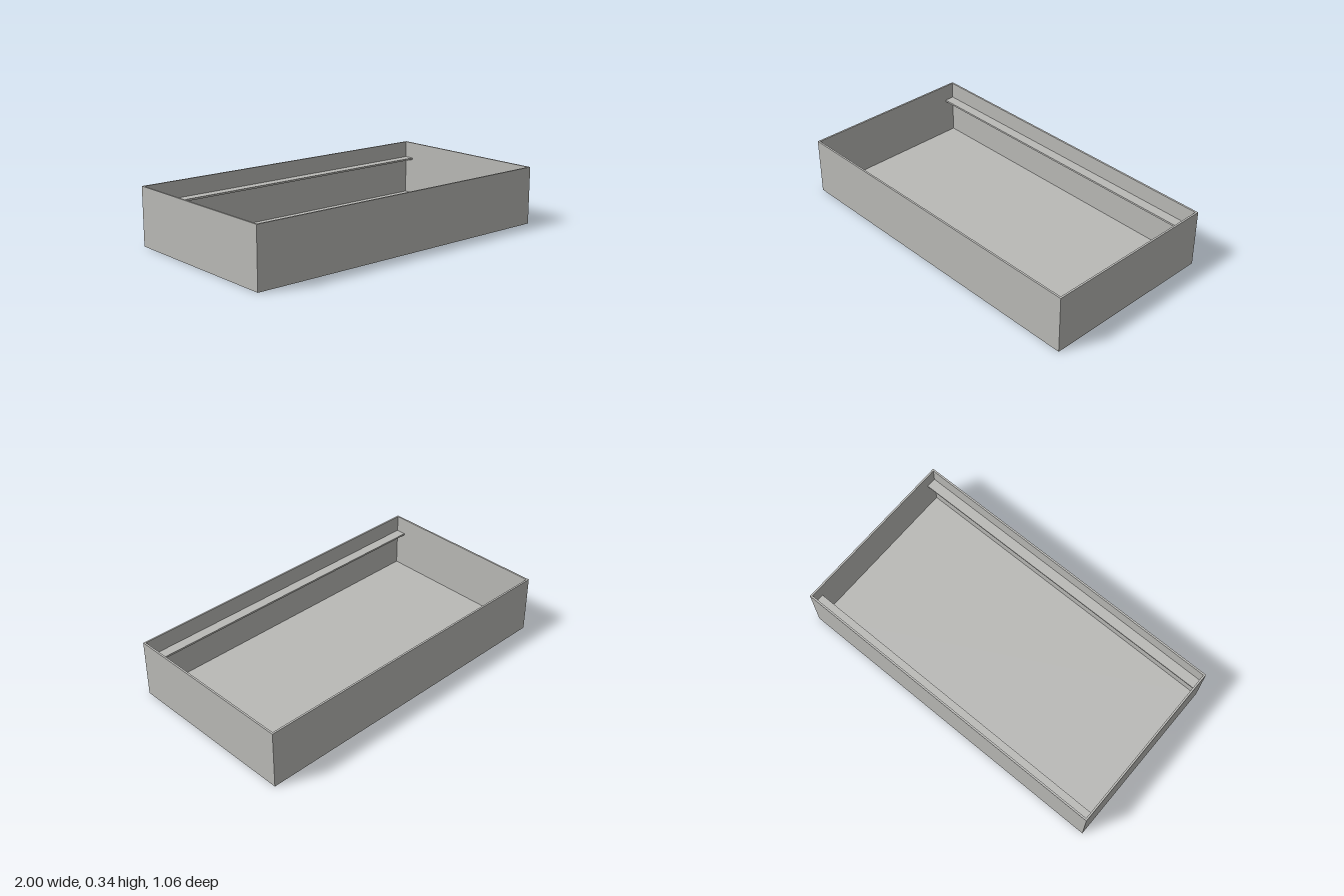
import * as THREE from 'three';

const W = 2, D = 1.06, H = 0.345; // outer size
const T = 0.011;                  // sheet thickness
const LEDGE = 0.06, LEDGE_Y = 0.245;

export function createModel() {
  const model = new THREE.Group();
  model.name = 'openTray';
  const grey = new THREE.MeshStandardMaterial({ color: 0xb9b9b6 });
  grey.name = 'warm grey';

  // Box placed by its centre
  const box = (name, w, h, d, x, y, z) => {
    const mesh = new THREE.Mesh(new THREE.BoxGeometry(w, h, d), grey);
    mesh.name = name;
    mesh.position.set(x, y, z);
    model.add(mesh);
  };

  // Floor fitted between the walls
  box('floor', W - 2 * T, T, D - 2 * T, 0, T / 2, 0);

  // Side walls
  for (const [side, s] of [['left', 1], ['right', -1]]) {
    box(side + 'Wall', T, H, D, s * (W - T) / 2, H / 2, 0);
  }

  // Long walls, each with an inner support ledge
  for (const [side, s] of [['front', 1], ['back', -1]]) {
    box(side + 'Wall', W - 2 * T, H, T, 0, H / 2, s * (D - T) / 2);
    box(side + 'Ledge', W - 2 * T, T, LEDGE, 0, LEDGE_Y - T / 2, s * (D / 2 - T - LEDGE / 2));
  }
  return model;
}
